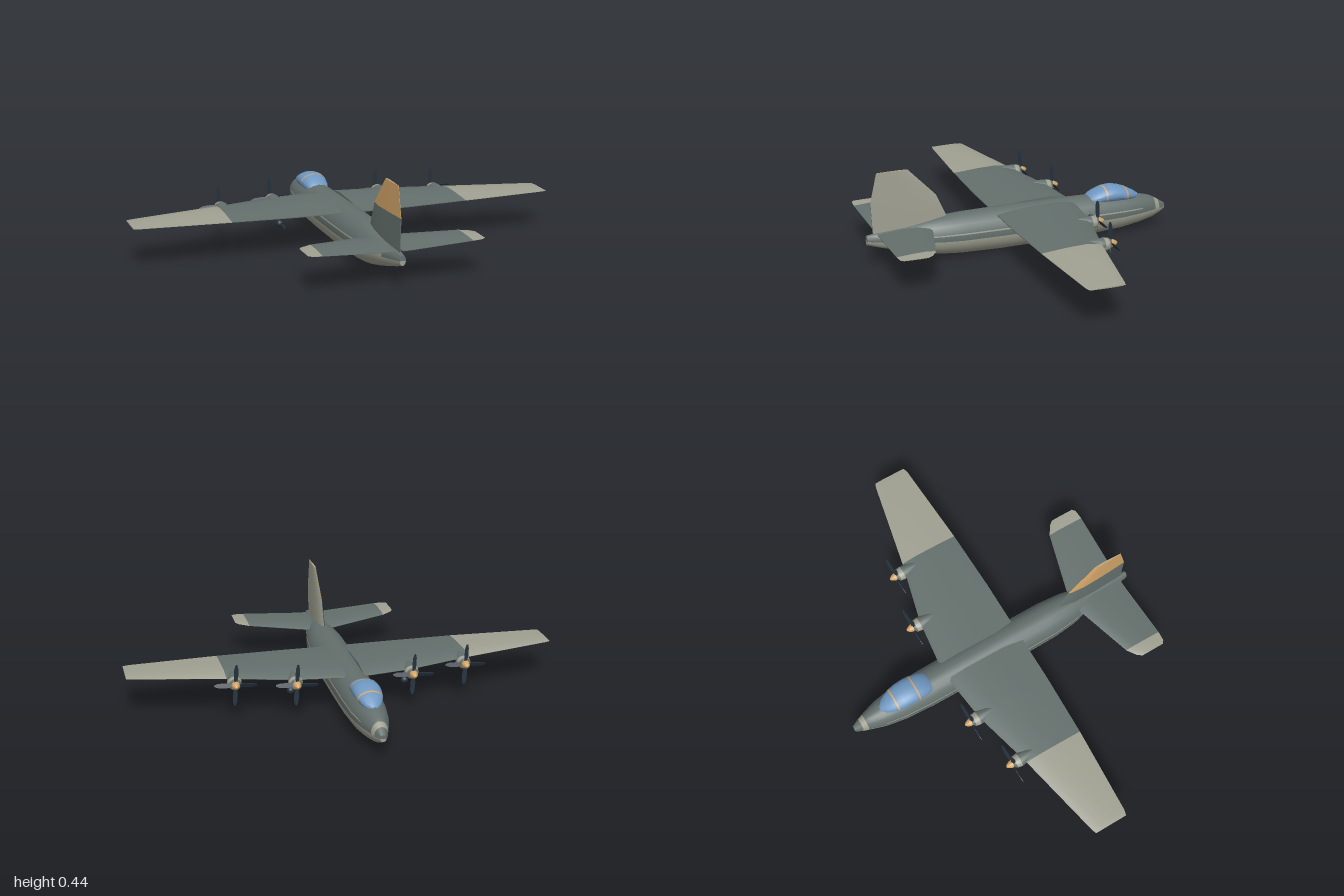
import * as THREE from 'three';
import { toCreasedNormals } from 'three/addons/utils/BufferGeometryUtils.js';

const mat = (name, color) => {
  const m = new THREE.MeshStandardMaterial({ color });
  m.name = name;
  return m;
};

// Skins closed loops of points; pick(ring, segment) gives the material index.
function loft(name, loops, materials, pick, crease = 0.6) {
  const n = loops[0].length;
  const pts = loops.flat();
  const faces = materials.map(() => []);
  const centre = (loop) => loop.reduce((s, p) => s.add(p), new THREE.Vector3()).divideScalar(n);
  const last = loops.length - 1;
  const c0 = pts.push(centre(loops[0])) - 1;
  const c1 = pts.push(centre(loops[last])) - 1;
  for (let j = 0; j < n; j++) {
    const k = (j + 1) % n;
    for (let i = 0; i < last; i++) {
      const a = i * n + j, b = i * n + k, c = a + n, d = b + n;
      faces[pick(i, j)].push([a, b, d], [a, d, c]);
    }
    faces[pick(0, j)].push([c0, k, j]);
    faces[pick(last - 1, j)].push([c1, last * n + j, last * n + k]);
  }
  // The signed volume tells whether the skin faces outwards.
  const volume = faces.flat().reduce((s, [a, b, c]) =>
    s + pts[a].dot(new THREE.Vector3().crossVectors(pts[b], pts[c])), 0);
  const g = new THREE.BufferGeometry().setFromPoints(pts);
  const index = [];
  faces.forEach((list, m) => {
    const start = index.length;
    list.forEach(([a, b, c]) => index.push(...(volume < 0 ? [a, c, b] : [a, b, c])));
    if (list.length) g.addGroup(start, index.length - start, m);
  });
  g.setIndex(index);
  const mesh = new THREE.Mesh(toCreasedNormals(g, crease), materials);
  mesh.name = name;
  return mesh;
}

// Half-loop of angles, mirrored; the narrow steps hold the paint lines.
const HALF = [-90, -75, -60, -45, -30, -18, -6, 10, 14, 26, 40, 55, 72, 90];
const ANGLES = [...HALF, ...HALF.slice(1, -1).reverse().map((a) => 180 - a)]
  .map(THREE.MathUtils.degToRad);
const midSine = (j) => (Math.sin(ANGLES[j]) + Math.sin(ANGLES[(j + 1) % ANGLES.length])) / 2;

// Elliptical loop from position along z, half width, bottom and top.
const oval = ([z, w, bottom, top], x = 0) => ANGLES.map((a) => new THREE.Vector3(
  x + w * Math.cos(a), (bottom + top) / 2 + (top - bottom) / 2 * Math.sin(a), z));

// Airfoil as [chord fraction, thickness fraction]: segments 0-3 are one face, 5-8 the other.
const UPPER = [[0, 0], [0.05, 0.5], [0.25, 1], [0.6, 0.75], [1, 0.1]];
const AIRFOIL = [...UPPER, ...UPPER.slice(1).reverse().map(([t, h]) => [t, -h])];
const foil = (front, back, half, place) =>
  AIRFOIL.map(([t, h]) => place(h * half, front + t * (back - front)));

export function createModel() {
  const dark = mat('darkGreyGreen', 0x64706d);
  const light = mat('paleGrey', 0xa0a192);
  const tan = mat('tan', 0xd2a468);
  const glass = mat('blueGlass', 0x7098c2);
  const blade = mat('darkBlue', 0x263440);
  const model = new THREE.Group();
  model.name = 'aircraft';

  // Fuselage: nose at -z, pale belly, side line, nose band and tail patches.
  const hull = [
    [-0.74, 0.014, 0.076, 0.108], [-0.705, 0.03, 0.058, 0.13], [-0.68, 0.038, 0.047, 0.146],
    [-0.66, 0.045, 0.041, 0.156], [-0.6, 0.064, 0.029, 0.171], [-0.5, 0.08, 0.015, 0.185],
    [-0.36, 0.088, 0.006, 0.196], [-0.15, 0.09, 0.001, 0.2], [0.1, 0.09, 0, 0.2],
    [0.3, 0.088, 0.006, 0.198], [0.41, 0.078, 0.016, 0.192], [0.47, 0.064, 0.028, 0.183],
    [0.53, 0.053, 0.042, 0.172], [0.6, 0.041, 0.06, 0.163], [0.68, 0.026, 0.083, 0.155],
    [0.74, 0.014, 0.102, 0.148],
  ];
  model.add(loft('fuselage', hull.map((s) => oval(s)), [dark, light], (i, j) => {
    const s = midSine(j);
    const line = s > 0.17 && s < 0.25 && i > 3 && i < 12;
    return s < -0.1 || line || i === 1 || (i === 12 && s < 0.8) ? 1 : 0;
  }));

  // Canopy: blue glazing with two thin hoops.
  const bubble = [
    [-0.597, 0.012, 0.15, 0.176], [-0.575, 0.035, 0.15, 0.192], [-0.55, 0.047, 0.15, 0.206],
    [-0.529, 0.055, 0.15, 0.217], [-0.521, 0.057, 0.15, 0.22], [-0.49, 0.062, 0.15, 0.231],
    [-0.455, 0.064, 0.15, 0.236], [-0.42, 0.063, 0.15, 0.233], [-0.412, 0.062, 0.15, 0.232],
    [-0.375, 0.057, 0.15, 0.218], [-0.35, 0.05, 0.15, 0.206], [-0.338, 0.042, 0.15, 0.195],
  ];
  model.add(loft('canopy', bubble.map((s) => oval(s)), [glass, tan],
    (i) => (i === 3 || i === 7 ? 1 : 0)));

  // Fin: tan cap on one side, plain pale on the other.
  const fin = [[0.15, 0.35, 0.71, 0.016], [0.2, 0.365, 0.712, 0.016],
    [0.3, 0.41, 0.716, 0.012], [0.435, 0.54, 0.685, 0.005]];
  model.add(loft('fin', fin.map(([y, a, b, h]) =>
    foil(a, b, h, (s, z) => new THREE.Vector3(s, y, z))), [dark, tan, light],
  (i, j) => (j < 4 ? 2 : i === 2 ? 1 : 0)));

  // Flying surfaces as [x, leading z, trailing z, mid y, half thickness].
  const wing = [[0.04, -0.258, 0.136, 0.179, 0.021], [0.27, -0.23, 0.136, 0.18, 0.019],
    [0.565, -0.155, 0.128, 0.183, 0.014], [0.975, -0.068, 0.105, 0.185, 0.006],
    [1, -0.06, 0.098, 0.185, 0.003]];
  const tailplane = [[0.02, 0.44, 0.695, 0.152, 0.013], [0.07, 0.45, 0.695, 0.153, 0.013],
    [0.34, 0.525, 0.703, 0.168, 0.007], [0.385, 0.555, 0.7, 0.17, 0.004],
    [0.4, 0.575, 0.688, 0.171, 0.002]];
  const surface = (name, sections, side) => loft(name, sections.map(([x, a, b, y, h]) =>
    foil(a, b, h, (s, z) => new THREE.Vector3(side * x, y + s, z))), [dark, light],
  (i, j) => (j > 4 || i > 1 ? 1 : 0));

  // Propeller: four pitched blades, hub and spinner, pointing to -z.
  const bladeShape = new THREE.Shape([[-0.005, 0.008], [0.005, 0.008], [0.011, 0.04],
    [0.01, 0.078], [0.004, 0.096], [-0.004, 0.096], [-0.01, 0.078], [-0.011, 0.04]]
    .map(([x, y]) => new THREE.Vector2(x, y)));
  const bladeGeo = new THREE.ExtrudeGeometry(bladeShape, { depth: 0.003, bevelEnabled: false });
  bladeGeo.translate(0, 0, -0.0015).rotateY(0.45);
  const spinnerGeo = new THREE.LatheGeometry([[0.019, 0], [0.017, 0.012], [0.011, 0.024],
    [0.005, 0.031], [0, 0.033]].map(([r, y]) => new THREE.Vector2(r, y)), 20);
  spinnerGeo.rotateX(-Math.PI / 2);

  function propeller() {
    const g = new THREE.Group();
    g.name = 'propeller';
    for (let i = 0; i < 4; i++) {
      const b = new THREE.Mesh(bladeGeo, blade);
      b.name = 'blade';
      b.rotation.z = i * Math.PI / 2 + 0.06;
      g.add(b);
    }
    const spinner = new THREE.Mesh(spinnerGeo, tan);
    spinner.name = 'spinner';
    g.add(spinner);
    return g;
  }

  // Nacelle as [distance behind the propeller, half width, bottom, top].
  const nacelle = [[0.001, 0.02, 0.15, 0.19], [0.012, 0.029, 0.143, 0.196],
    [0.035, 0.033, 0.14, 0.199], [0.06, 0.03, 0.143, 0.2], [0.09, 0.022, 0.148, 0.199],
    [0.13, 0.012, 0.156, 0.192], [0.17, 0.003, 0.168, 0.18]];

  for (const side of [1, -1]) {
    const label = side > 0 ? 'left' : 'right';
    model.add(surface(label + 'Wing', wing, side), surface(label + 'Tailplane', tailplane, side));

    for (const [x, z] of [[0.268, -0.27], [0.533, -0.21]]) {
      const body = nacelle.map(([d, ...rest]) => oval([z + d, ...rest], side * x));
      model.add(loft(label + 'Nacelle', body, [dark, light],
        (i, j) => (midSine(j) < 0 || i === 1 ? 1 : 0)));
      const prop = propeller();
      prop.position.set(side * x, 0.17, z);
      model.add(prop);
    }

    // Underwing ball with a trailing bar.
    const pod = new THREE.Group();
    pod.name = label + 'UnderwingPod';
    const ball = new THREE.Mesh(new THREE.SphereGeometry(0.017, 20, 14), blade);
    ball.name = 'ball';
    const bar = new THREE.Mesh(new THREE.CylinderGeometry(0.005, 0.005, 0.06, 10), blade);
    bar.name = 'bar';
    bar.rotation.x = Math.PI / 2;
    bar.position.z = 0.04;
    const end = new THREE.Mesh(new THREE.CylinderGeometry(0.008, 0.008, 0.02, 10), blade);
    end.name = 'barEnd';
    end.rotation.x = Math.PI / 2;
    end.position.z = 0.062;
    pod.add(ball, bar, end);
    pod.position.set(side * 0.268, 0.085, -0.122);
    model.add(pod);
  }
  return model;
}
